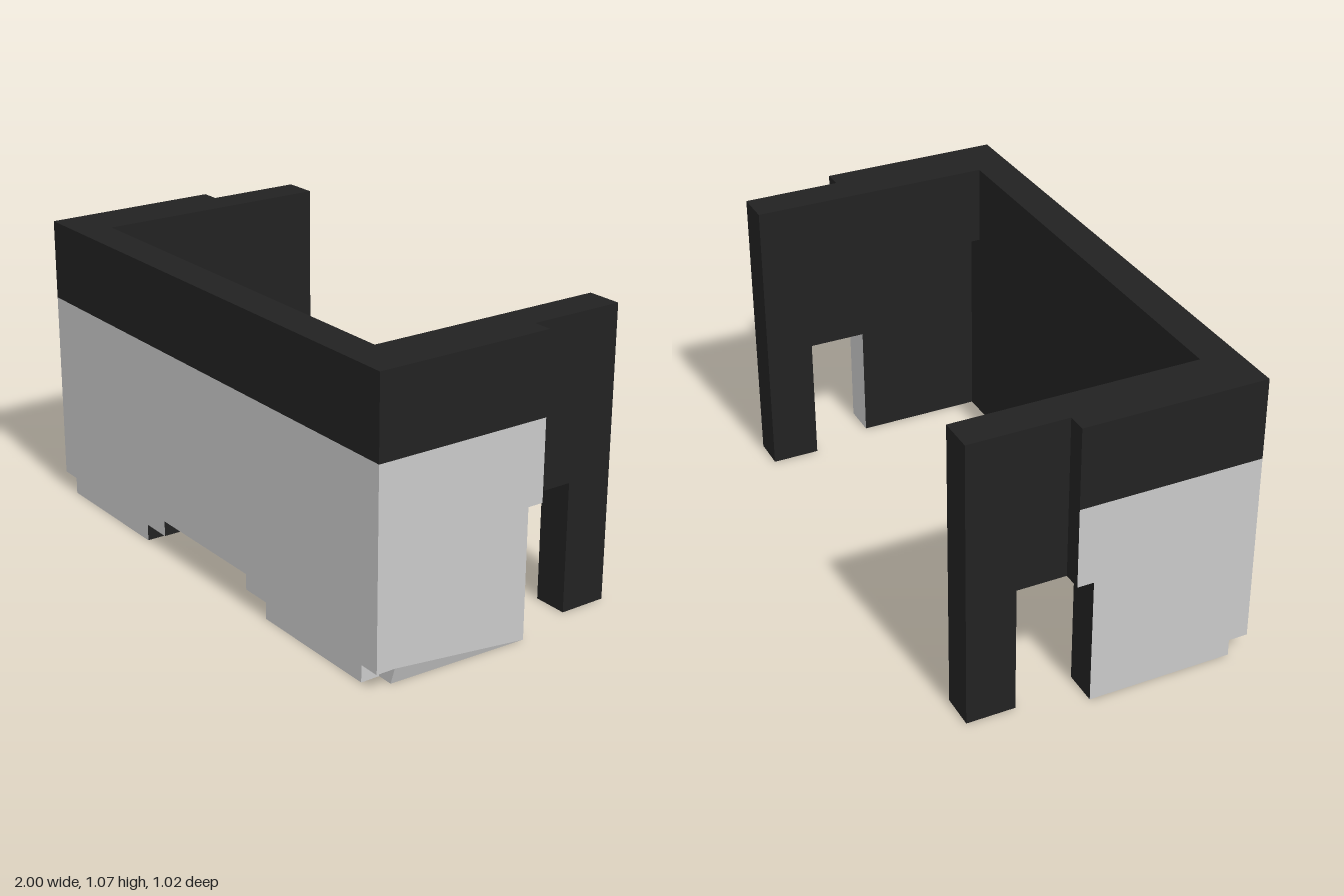
import * as THREE from 'three';
import { ConvexGeometry } from 'three/addons/geometries/ConvexGeometry.js';

const black = new THREE.MeshStandardMaterial({ color: 0x222222 });
black.name = 'black';
const grey = new THREE.MeshStandardMaterial({ color: 0xc9c9c9 });
grey.name = 'light grey';

const extrude = (points, depth) => new THREE.ExtrudeGeometry(
  new THREE.Shape(points.map(([x, y]) => new THREE.Vector2(x, y))),
  { depth, bevelEnabled: false });

// Profile in (z, y), extruded from x0 to x1
const extrudeAcross = (points, x0, x1) =>
  extrude(points, x1 - x0).rotateY(-Math.PI / 2).translate(x1, 0, 0);

// Chooses the colour of a shell face from its direction and centre
function isGrey(n, c) {
  if (n.x > 0.5) return Math.abs(c.x) > 0.5;
  if (n.x < -0.5) return Math.abs(c.x - 0.87) > 0.02;
  if (n.y < -0.5) return c.y < 0.3;
  if (n.z < -0.5) return c.x > 0 && Math.abs(c.z + 0.094) < 0.02;
  return true;
}

// Splits a geometry into one group per triangle: 0 black, 1 grey
function paint(source) {
  const geo = source.index ? source.toNonIndexed() : source;
  geo.clearGroups();
  const p = geo.attributes.position;
  const tri = new THREE.Triangle();
  const n = new THREE.Vector3(), c = new THREE.Vector3();
  for (let i = 0; i < p.count; i += 3) {
    tri.setFromAttributeAndIndices(p, i, i + 1, i + 2);
    tri.getNormal(n);
    tri.getMidpoint(c);
    geo.addGroup(i, 3, isGrey(n, c) ? 1 : 0);
  }
  return geo;
}

export function createModel() {
  const model = new THREE.Group();
  model.name = 'counter';
  const add = (name, geo, material) => {
    const mesh = new THREE.Mesh(geo, material);
    mesh.name = name;
    model.add(mesh);
  };
  const shell = (name, geo) => add(name, paint(geo), [black, grey]);

  // Top band: one U-shaped ring, outline in (x, z)
  const half = [[0.80, 0.38], [0.80, -0.511], [0.93, -0.511], [0.93, -0.154], [1, -0.154], [1, 0.511]];
  const outline = [...half, ...half.map(([x, z]) => [-x, z]).reverse()];
  add('topBand', extrude(outline, 0.296).rotateX(Math.PI / 2).translate(0, 1.069, 0), black);

  // Front panel with the stepped foot opening and cut corners
  const edge = [[0.265, 0.12], [0.265, 0.062], [0.385, 0.062], [0.385, 0],
    [0.92, 0], [0.92, 0.062], [1, 0.062], [1, 0.773]];
  const panel = [...edge, ...edge.map(([x, y]) => [-x, y]).reverse()];
  shell('frontPanel', extrude(panel, 0.131).translate(0, 0, 0.38));

  const sideProfile = [[0.38, 0.062], [0.38, 0.773], [-0.154, 0.773], [-0.154, 0.477],
    [-0.094, 0.477], [-0.094, 0.062]];
  const postProfile = [[-0.094, 0.773], [-0.094, 0.477], [-0.333, 0.477], [-0.333, 0],
    [-0.511, 0], [-0.511, 0.773]];

  for (const [side, s] of [['left', 1], ['right', -1]]) {
    const span = (a, b) => (s > 0 ? [a, b] : [-b, -a]);
    shell(side + 'SidePanel', extrudeAcross(sideProfile, ...span(0.87, 1)));
    add(side + 'RearPost', extrudeAcross(postProfile, ...span(0.80, 0.93)), black);

    // Base strip; on the left its front lower corner is tucked in
    const corners = [];
    for (const x of [0.87, 1]) for (const y of [0, 0.062]) for (const z of [-0.094, 0.44]) {
      const tucked = s > 0 && x === 1 && y === 0 && z > 0;
      corners.push(new THREE.Vector3(s * (tucked ? 0.98 : x), y, z));
    }
    shell(side + 'BaseStrip', new ConvexGeometry(corners));
  }
  return model;
}
